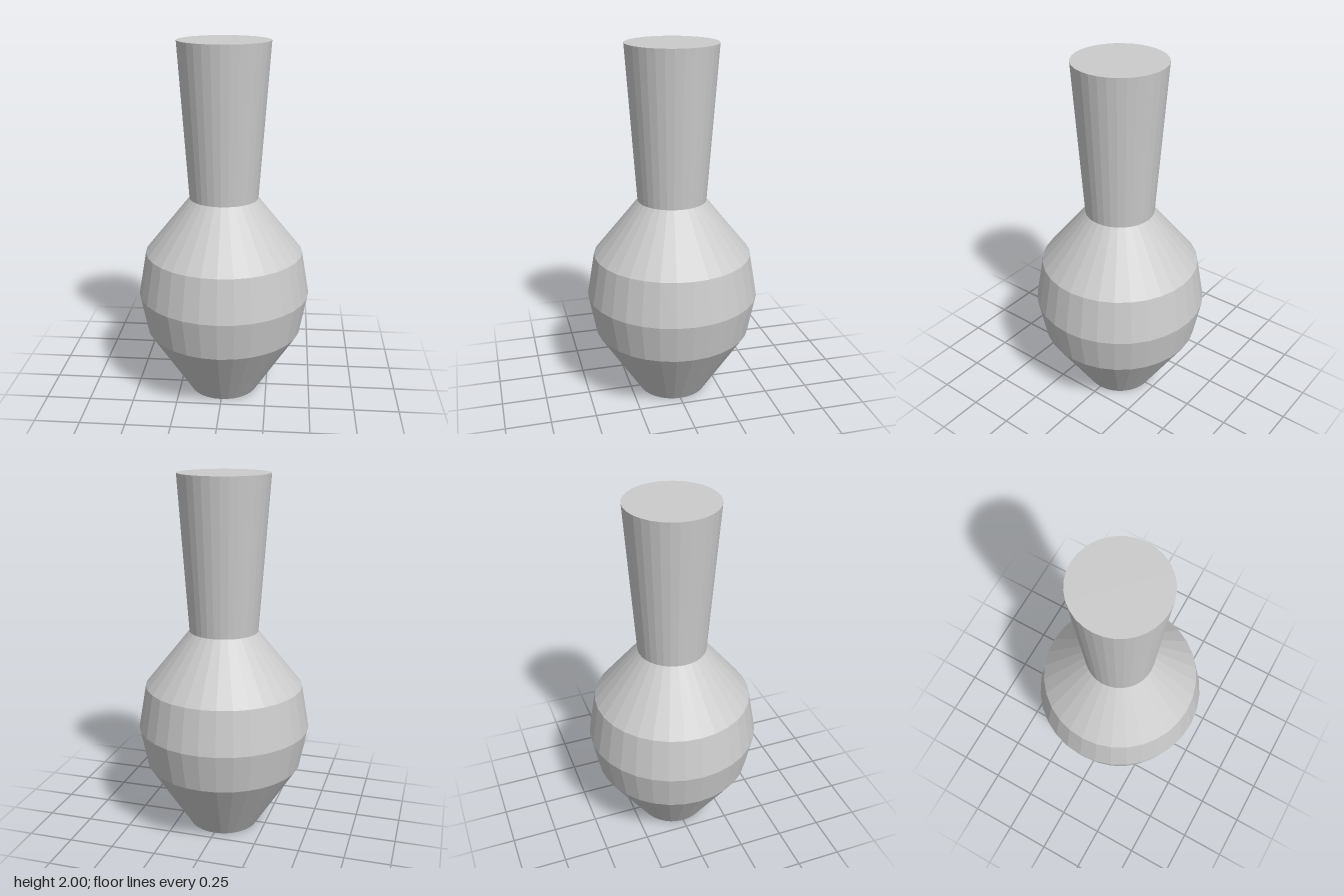
import * as THREE from 'three';

const SIDES = 32;

export function createModel() {
  const vase = new THREE.Group();
  vase.name = 'vase';
  const material = new THREE.MeshStandardMaterial({ color: 0xcccccc, flatShading: true });

  // Revolve a [radius, height] profile, listed from bottom to top
  const addLathe = (name, profile) => {
    const points = profile.map(([r, y]) => new THREE.Vector2(r, y));
    const mesh = new THREE.Mesh(new THREE.LatheGeometry(points, SIDES), material);
    mesh.name = name;
    vase.add(mesh);
  };

  // Faceted belly, closed at the foot
  addLathe('body', [[0, 0], [0.195, 0], [0.438, 0.382], [0.48, 0.6], [0.438, 0.842], [0.19, 1.15]]);

  // Flared neck, closed by a flat top
  addLathe('neck', [[0.19, 1.15], [0.25, 2], [0, 2]]);

  return vase;
}
